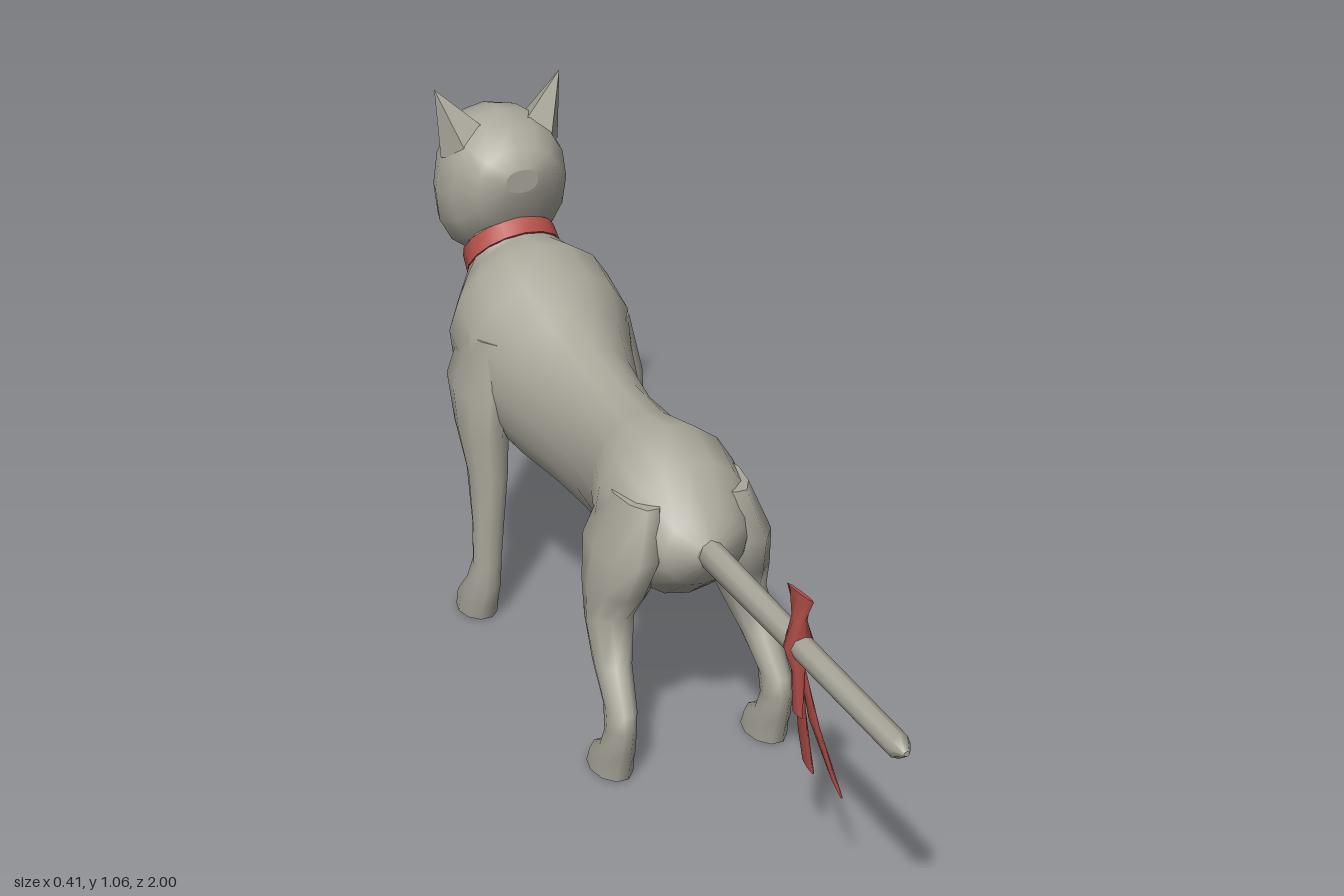
import * as THREE from 'three';
import { ConvexGeometry } from 'three/addons/geometries/ConvexGeometry.js';

const mat = (name, color, extra = {}) => {
  const m = new THREE.MeshStandardMaterial({ color, ...extra });
  m.name = name;
  return m;
};

// Skin closed oval rings. Each ring is [zA, yA, zB, yB, halfWidth, xCentre = 0]:
// A and B are the two ends of the oval's axis in the side plane.
// Rings run head-wards with A on top, or downwards with A at the front.
function loft(rings, n = 14, power = 1) {
  const pos = [], idx = [];
  const point = ([zA, yA, zB, yB, hw, xc = 0], j) => {
    const a = (j / n) * Math.PI * 2;
    const bend = (v) => Math.sign(v) * Math.abs(v) ** power;
    const t = (1 - bend(Math.sin(a))) / 2;
    return [xc + hw * bend(Math.cos(a)), yA + (yB - yA) * t, zA + (zB - zA) * t];
  };
  rings.forEach((r, i) => {
    for (let j = 0; j < n; j++) {
      pos.push(...point(r, j));
      if (i === rings.length - 1) continue;
      const k = (j + 1) % n, a = i * n + j, b = i * n + k;
      idx.push(a, a + n, b, b, a + n, b + n);
    }
  });
  // end caps have their own vertices so their rims stay sharp
  [rings[0], rings[rings.length - 1]].forEach((r, end) => {
    const c = pos.length / 3;
    pos.push(r[5] || 0, (r[1] + r[3]) / 2, (r[0] + r[2]) / 2);
    for (let j = 0; j < n; j++) pos.push(...point(r, j));
    for (let j = 0; j < n; j++) {
      const p = c + 1 + j, q = c + 1 + ((j + 1) % n);
      if (end) idx.push(c, q, p); else idx.push(c, p, q);
    }
  });
  const g = new THREE.BufferGeometry();
  g.setAttribute('position', new THREE.Float32BufferAttribute(pos, 3));
  g.setIndex(idx);
  g.computeVertexNormals();
  return g;
}

export function createModel() {
  const group = new THREE.Group();
  group.name = 'cat';
  const fur = mat('grey fur', 0xaaa79b);
  const red = mat('red ribbon', 0xb5504a, { side: THREE.DoubleSide });
  const gold = mat('gold', 0xa8820a);
  const pink = mat('pink nose', 0xc07a78);
  const dark = mat('dark line', 0x2a2418);

  const add = (name, geometry, material) => {
    const m = new THREE.Mesh(geometry, material);
    m.name = name;
    group.add(m);
    return m;
  };

  // Torso from rump to neck
  add('torso', loft([
    [0.228, 0.5, 0.228, 0.45, 0.03],
    [0.2, 0.545, 0.2, 0.4, 0.085],
    [0.127, 0.62, 0.13, 0.345, 0.135],
    [0.025, 0.652, 0.03, 0.335, 0.15],
    [-0.08, 0.635, -0.08, 0.345, 0.11],
    [-0.2, 0.642, -0.2, 0.34, 0.096],
    [-0.32, 0.665, -0.33, 0.34, 0.11],
    [-0.42, 0.705, -0.45, 0.345, 0.143],
    [-0.51, 0.75, -0.57, 0.37, 0.182],
    [-0.59, 0.778, -0.68, 0.43, 0.178],
    [-0.645, 0.772, -0.75, 0.52, 0.13],
    [-0.672, 0.775, -0.785, 0.635, 0.09],
    [-0.72, 0.85, -0.83, 0.72, 0.08],
  ], 16), fur);

  // Head from nape to muzzle
  add('head', loft([
    [-0.665, 0.91, -0.668, 0.86, 0.035],
    [-0.682, 0.95, -0.69, 0.785, 0.09],
    [-0.73, 0.985, -0.74, 0.715, 0.125],
    [-0.785, 1.0, -0.81, 0.68, 0.137],
    [-0.83, 0.997, -0.84, 0.683, 0.127],
    [-0.87, 0.985, -0.87, 0.692, 0.103],
    [-0.912, 0.95, -0.91, 0.703, 0.07],
    [-0.95, 0.912, -0.945, 0.718, 0.045],
    [-0.98, 0.86, -0.975, 0.75, 0.028],
    [-0.998, 0.82, -0.994, 0.782, 0.012],
  ], 16, 0.88), fur);

  // Tail
  add('tail', loft([
    [0.998, 0.48, 0.998, 0.47, 0.006],
    [0.97, 0.499, 0.97, 0.45, 0.022],
    [0.6, 0.5, 0.6, 0.45, 0.023],
    [0.2, 0.505, 0.2, 0.445, 0.026],
  ], 8), fur);

  for (const s of [1, -1]) {
    const side = s > 0 ? 'left' : 'right';
    const leg = (rings) => loft(rings.map((r) => [...r.slice(0, 5), r[5] * s]), 10);

    add(side + 'FrontLeg', leg([
      [-0.64, 0.63, -0.47, 0.63, 0.045, 0.125],
      [-0.67, 0.52, -0.46, 0.5, 0.055, 0.145],
      [-0.62, 0.43, -0.465, 0.42, 0.05, 0.15],
      [-0.57, 0.34, -0.465, 0.33, 0.04, 0.15],
      [-0.54, 0.22, -0.473, 0.22, 0.033, 0.155],
      [-0.535, 0.14, -0.475, 0.13, 0.03, 0.16],
      [-0.56, 0.09, -0.478, 0.08, 0.034, 0.162],
      [-0.605, 0.04, -0.49, 0.035, 0.039, 0.165],
      [-0.615, 0, -0.5, 0, 0.04, 0.165],
    ]), fur);

    add(side + 'HindLeg', leg([
      [-0.02, 0.56, 0.17, 0.56, 0.04, 0.09],
      [-0.05, 0.45, 0.2, 0.46, 0.063, 0.112],
      [-0.02, 0.36, 0.16, 0.37, 0.06, 0.125],
      [0.02, 0.29, 0.12, 0.31, 0.048, 0.14],
      [0.07, 0.22, 0.165, 0.23, 0.036, 0.155],
      [0.13, 0.16, 0.215, 0.155, 0.03, 0.163],
      [0.135, 0.1, 0.22, 0.12, 0.028, 0.165],
      [0.12, 0.06, 0.205, 0.06, 0.033, 0.165],
      [0.075, 0.035, 0.195, 0.03, 0.038, 0.165],
      [0.06, 0, 0.19, 0, 0.04, 0.165],
    ]), fur);

    // Pointed ear
    add(side + 'Ear', new ConvexGeometry([
      [0.128, 0.915, -0.785], [0.09, 0.93, -0.73], [0.05, 0.982, -0.755],
      [0.06, 0.965, -0.815], [0.115, 0.925, -0.81], [0.136, 1.06, -0.79],
    ].map(([x, y, z]) => new THREE.Vector3(x * s, y, z))), fur);

    // Eye and pupil as thin discs laid on the face
    const normal = new THREE.Vector3(0.72 * s, 0.12, -0.68).normalize();
    const disc = (name, rx, ry, lift, material) => {
      const m = add(name, new THREE.CircleGeometry(1, 10), material);
      m.position.set(0.069 * s, 0.84, -0.912).addScaledVector(normal, lift);
      m.lookAt(m.position.clone().add(normal));
      m.scale.set(rx, ry, 1);
    };
    disc(side + 'Eye', 0.024, 0.016, 0.006, gold);
    disc(side + 'Pupil', 0.006, 0.012, 0.008, dark);
  }

  // Nose and mouth
  const nose = add('nose', new THREE.SphereGeometry(1, 8, 6), pink);
  nose.position.set(0, 0.812, -0.994);
  nose.scale.set(0.013, 0.012, 0.006);
  add('mouth', new THREE.TubeGeometry(new THREE.CatmullRomCurve3([
    [-0.026, 0.752, -0.962], [-0.012, 0.757, -0.98], [0, 0.769, -0.989],
    [0.012, 0.757, -0.98], [0.026, 0.752, -0.962],
  ].map((p) => new THREE.Vector3(...p))), 12, 0.003, 5), dark);

  // Collar and bell
  add('collar', loft([
    [-0.655, 0.778, -0.785, 0.618, 0.1],
    [-0.685, 0.8, -0.812, 0.652, 0.098],
  ], 16), red);
  const bell = add('bell', new THREE.SphereGeometry(0.05, 10, 7), gold);
  bell.position.set(0, 0.61, -0.835);

  // Ribbon tied on the tail: bow with knot, then two hanging ends
  add('bow', loft([
    [0.54, 0.575, 0.645, 0.588, 0.004],
    [0.57, 0.53, 0.612, 0.53, 0.012],
    [0.566, 0.475, 0.614, 0.475, 0.03],
    [0.574, 0.42, 0.606, 0.42, 0.012],
    [0.57, 0.33, 0.61, 0.33, 0.004],
  ], 8), red);
  add('rearRibbonEnd', loft([
    [0.58, 0.42, 0.605, 0.42, 0.004, 0.008],
    [0.597, 0.32, 0.64, 0.32, 0.004, 0.02],
    [0.636, 0.25, 0.71, 0.205, 0.004, 0.034],
  ], 6), red);
  add('frontRibbonEnd', loft([
    [0.57, 0.42, 0.6, 0.42, 0.004, 0.008],
    [0.542, 0.33, 0.577, 0.33, 0.004, 0.022],
    [0.53, 0.26, 0.577, 0.25, 0.004, 0.033],
    [0.535, 0.195, 0.582, 0.185, 0.004, 0.041],
  ], 6), red);

  return group;
}
